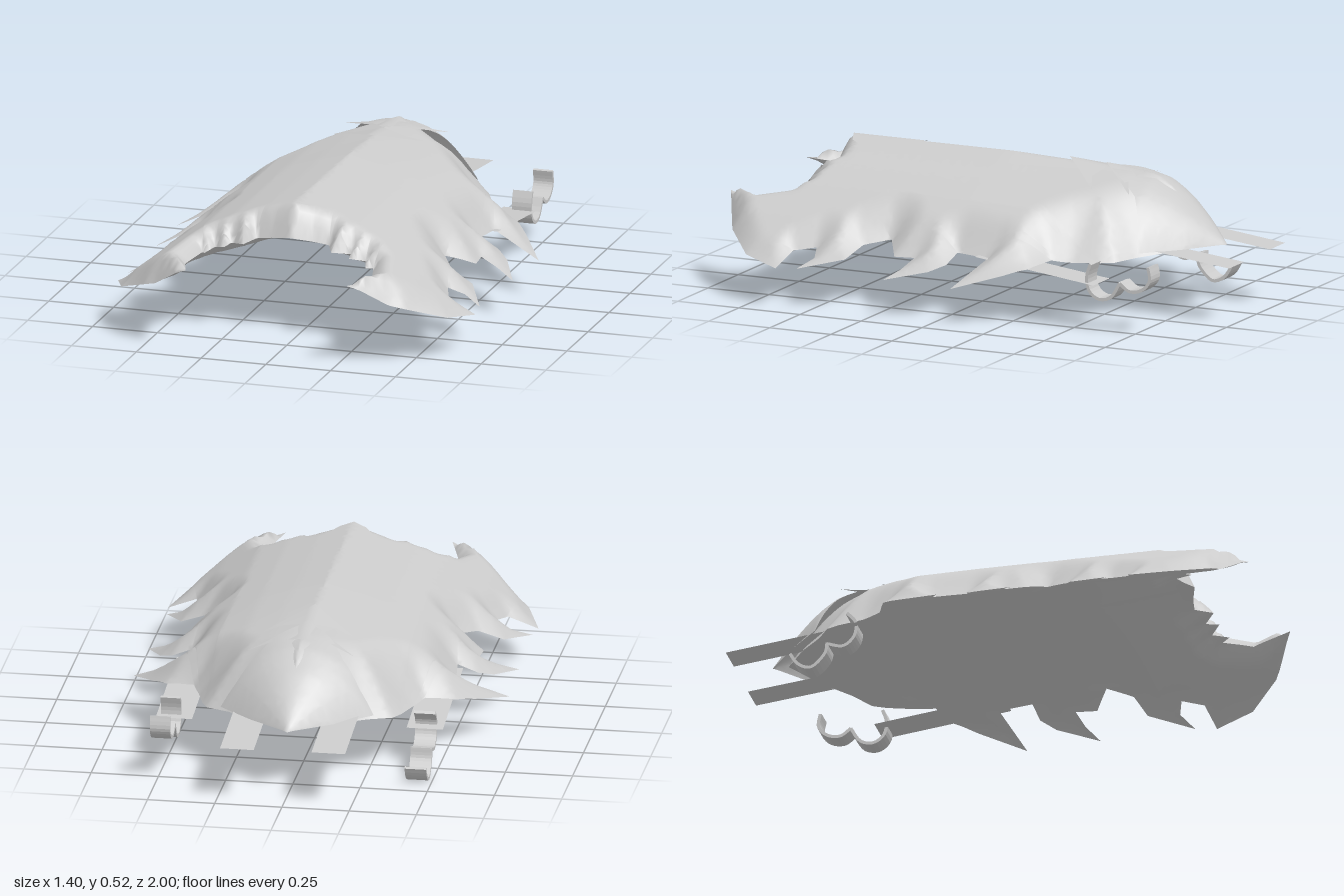
import * as THREE from 'three';
import { mergeVertices } from 'three/addons/utils/BufferGeometryUtils.js';

const material = new THREE.MeshStandardMaterial({ color: 0xcccccc, side: THREE.DoubleSide });
const { clamp, lerp, smoothstep } = THREE.MathUtils;

// Piecewise linear profile through [position, value] pairs
function profile(points, p) {
  for (let i = 1; i < points.length; i++) {
    const [a, ya] = points[i - 1], [b, yb] = points[i];
    if (p <= b || i === points.length - 1) return lerp(ya, yb, clamp((p - a) / (b - a), 0, 1));
  }
}

// Distance from (x, z) to an open outline
function edgeDistance(outline, x, z) {
  let best = Infinity;
  for (let i = 1; i < outline.length; i++) {
    const [ax, az] = outline[i - 1], [bx, bz] = outline[i];
    const dx = bx - ax, dz = bz - az;
    const t = clamp(((x - ax) * dx + (z - az) * dz) / (dx * dx + dz * dz), 0, 1);
    best = Math.min(best, Math.hypot(x - ax - t * dx, z - az - t * dz));
  }
  return best;
}

// Mirrored curved sheet: half outline in (x, z), finely divided, lifted by a height rule
function sheet(name, outline, height, facesDown = false, maxEdge = 0.03) {
  const contour = outline.map(([x, z]) => new THREE.Vector2(x, z));
  const positions = [];
  const emit = (tri) => {
    for (const p of tri) positions.push(p.x, height(p.x, p.y), p.y);
    for (const p of [tri[0], tri[2], tri[1]]) positions.push(-p.x, height(p.x, p.y), p.y);
  };
  const divide = (a, b, c) => {
    const ab = a.distanceTo(b), bc = b.distanceTo(c), ca = c.distanceTo(a);
    const longest = Math.max(ab, bc, ca);
    if (longest <= maxEdge) return emit([a, b, c]);
    if (longest === bc) [a, b, c] = [b, c, a];
    else if (longest === ca) [a, b, c] = [c, a, b];
    const m = a.clone().add(b).multiplyScalar(0.5);
    divide(a, m, c);
    divide(m, b, c);
  };
  for (const face of THREE.ShapeUtils.triangulateShape(contour, [])) {
    let [a, b, c] = face.map((i) => contour[i]);
    const area = (b.x - a.x) * (c.y - a.y) - (b.y - a.y) * (c.x - a.x);
    if (area > 0 !== facesDown) [b, c] = [c, b];
    divide(a, b, c);
  }
  let geometry = new THREE.BufferGeometry();
  geometry.setAttribute('position', new THREE.Float32BufferAttribute(positions, 3));
  geometry = mergeVertices(geometry, 1e-5);
  geometry.computeVertexNormals();
  const mesh = new THREE.Mesh(geometry, material);
  mesh.name = name;
  return mesh;
}

// Arched cross-section of the shell, lowered slightly towards the back
const arch = [[0, 0.517], [0.12, 0.485], [0.24, 0.447], [0.35, 0.4], [0.5, 0.3], [0.7, 0.145]];
const crown = (x, z) => profile(arch, x) - 0.025 * clamp(-z / 0.5, 0, 1) * clamp(1 - x / 0.5, 0, 1);

// Half outline from back to front: side spikes, claw, toothed front rim
const shellOutline = [
  [0, -0.82], [0.15, -0.73], [0.26, -0.64], [0.345, -0.59], [0.37, -0.54], [0.4, -0.44], [0.43, -0.37],
  [0.54, -0.33], [0.6, -0.25], [0.7, -0.09], [0.51, -0.15], [0.495, -0.02],
  [0.57, -0.01], [0.62, 0.04], [0.69, 0.19], [0.62, 0.15], [0.55, 0.13], [0.555, 0.21],
  [0.455, 0.27], [0.51, 0.36], [0.6, 0.39], [0.63, 0.45], [0.68, 0.55], [0.61, 0.51],
  [0.55, 0.53], [0.58, 0.61], [0.69, 0.63], [0.63, 0.78], [0.5, 0.9], [0.31, 1],
  [0.36, 0.85], [0.33, 0.74], [0.31, 0.77], [0.29, 0.71], [0.24, 0.75], [0.23, 0.7],
  [0.17, 0.745], [0.14, 0.68], [0.08, 0.69], [0, 0.715],
];

const backness = (z) => smoothstep(-z, 0.2, 0.45);

// Height of the rolled rim, lowest around the back
function rimHeight(x, z) {
  const side = crown(x, z) - lerp(0.115, 0.085, clamp(x / 0.3, 0, 1)) * clamp((0.7 - x) / 0.25, 0, 1);
  return lerp(side, Math.min(side, 0.25 - 0.08 * x), backness(z));
}

// Width of the rolled rim: broad at the back, tight at the front
const rimWidth = [[-0.45, 0.23], [-0.2, 0.13], [0.4, 0.13], [0.65, 0.075]];

function shellHeight(x, z) {
  const d = clamp(edgeDistance(shellOutline, x, z) / profile(rimWidth, z), 0, 1);
  return lerp(rimHeight(x, z), crown(x, z), Math.sin(d * Math.PI / 2));
}

// Shallow underside, sloping from the front rim down to the back edge
function undersideHeight(x, z) {
  const t = clamp((z + 0.8) / 1.5, 0, 1);
  const floor = lerp(0.25, 0.4, t) - lerp(0.08, 0.34, t) * x;
  const d = clamp(edgeDistance(shellOutline, x, z) / 0.08, 0, 1);
  return Math.min(lerp(rimHeight(x, z), floor, d), shellHeight(x, z) - 0.004 * d);
}

// Domed hood: ridge line along z, falling off to a level edge at its half width
const hoodRidge = [[-0.88, 0.25], [-0.8, 0.33], [-0.7, 0.415], [-0.6, 0.475], [-0.5, 0.494], [-0.39, 0.504]];
const hoodWidth = [[-0.88, 0.001], [-0.77, 0.15], [-0.69, 0.24], [-0.65, 0.285], [-0.58, 0.33], [-0.39, 0.45]];
function hoodHeight(x, z) {
  const side = clamp(x / profile(hoodWidth, z), 0, 1);
  return 0.25 + (profile(hoodRidge, z) - 0.25) * (1 - side ** 2.2);
}

// Flat sloping strap between two depths
function strap(name, x0, x1, backZ, backY, frontZ, frontY) {
  const length = Math.hypot(frontZ - backZ, frontY - backY);
  const geometry = new THREE.PlaneGeometry(x1 - x0, length).rotateX(-Math.PI / 2);
  const mesh = new THREE.Mesh(geometry, material);
  mesh.position.set((x0 + x1) / 2, (backY + frontY) / 2, (backZ + frontZ) / 2);
  mesh.rotation.x = -Math.atan2(frontY - backY, frontZ - backZ);
  mesh.name = name;
  return mesh;
}

// Thin curled band: a smoothed (z, y) path thickened and extruded across x
function curl(name, x0, x1, points) {
  const half = 0.006;
  const path = new THREE.SplineCurve(points.map(([z, y]) => new THREE.Vector2(z, y))).getPoints(18);
  const sides = [[], []];
  path.forEach(({ x: z, y }, i) => {
    const a = path[Math.max(i - 1, 0)], b = path[Math.min(i + 1, path.length - 1)];
    const n = new THREE.Vector2(a.y - b.y, b.x - a.x).normalize().multiplyScalar(half);
    sides[0].push(new THREE.Vector2(-z - n.x, y + n.y));
    sides[1].unshift(new THREE.Vector2(-z + n.x, y - n.y));
  });
  const geometry = new THREE.ExtrudeGeometry(new THREE.Shape(sides.flat()), { depth: x1 - x0, bevelEnabled: false });
  geometry.rotateY(Math.PI / 2); // depth -> +x, shape x -> -z
  const mesh = new THREE.Mesh(geometry, material);
  mesh.position.x = x0;
  mesh.name = name;
  return mesh;
}

export function createModel() {
  const model = new THREE.Group();
  model.name = 'spikedShell';

  model.add(sheet('shell', shellOutline, shellHeight));
  model.add(sheet('underside', shellOutline, undersideHeight, true));

  // Pointed hood over the back end
  model.add(sheet('backHood',
    [[0, -0.88], [0.15, -0.77], [0.24, -0.69], [0.285, -0.65], [0.23, -0.63], [0.16, -0.58], [0.1, -0.49], [0, -0.39]],
    hoodHeight));

  // Overlapping chevron plates along the ridge
  for (const tip of [-0.235, -0.385]) {
    model.add(sheet('chevronPlate',
      [[0, tip], [0.08, tip - 0.08], [0.2, tip - 0.19], [0.1, tip - 0.14], [0, tip - 0.16]],
      (x, z) => crown(x, z) + 0.003 + 0.07 * Math.max(0, z - tip + 0.16)));
  }

  // Rounded plate above the front rim
  model.add(sheet('frontPlate',
    [[0, 0.36], [0.08, 0.38], [0.13, 0.46], [0.1, 0.56], [0.05, 0.63], [0, 0.65]],
    (x, z) => crown(x, z) + 0.003));

  // Straps under the shell
  model.add(
    strap('leftBackStrap', 0.105, 0.23, -1, 0.218, -0.58, 0.265),
    strap('rightBackStrap', -0.235, -0.11, -1, 0.222, -0.58, 0.272),
    strap('leftSideStrap', 0.4, 0.535, -0.595, 0.175, -0.11, 0.235),
    strap('rightSideStrap', -0.515, -0.38, -0.485, 0.148, -0.02, 0.22));

  // Curled bands hanging from the side straps
  model.add(
    curl('leftInnerCurl', 0.445, 0.52,
      [[-0.575, 0.25], [-0.56, 0.2], [-0.57, 0.15], [-0.61, 0.122], [-0.66, 0.135], [-0.695, 0.19]]),
    curl('leftOuterCurl', 0.445, 0.52,
      [[-0.695, 0.19], [-0.735, 0.163], [-0.785, 0.172], [-0.817, 0.21], [-0.81, 0.26]]),
    curl('rightInnerCurl', -0.487, -0.407,
      [[-0.48, 0.21], [-0.447, 0.17], [-0.453, 0.115], [-0.495, 0.08], [-0.555, 0.095]]),
    curl('rightOuterCurl', -0.487, -0.407,
      [[-0.555, 0.1], [-0.565, 0.055], [-0.615, 0.008], [-0.665, 0.025], [-0.695, 0.07]]));

  return model;
}
